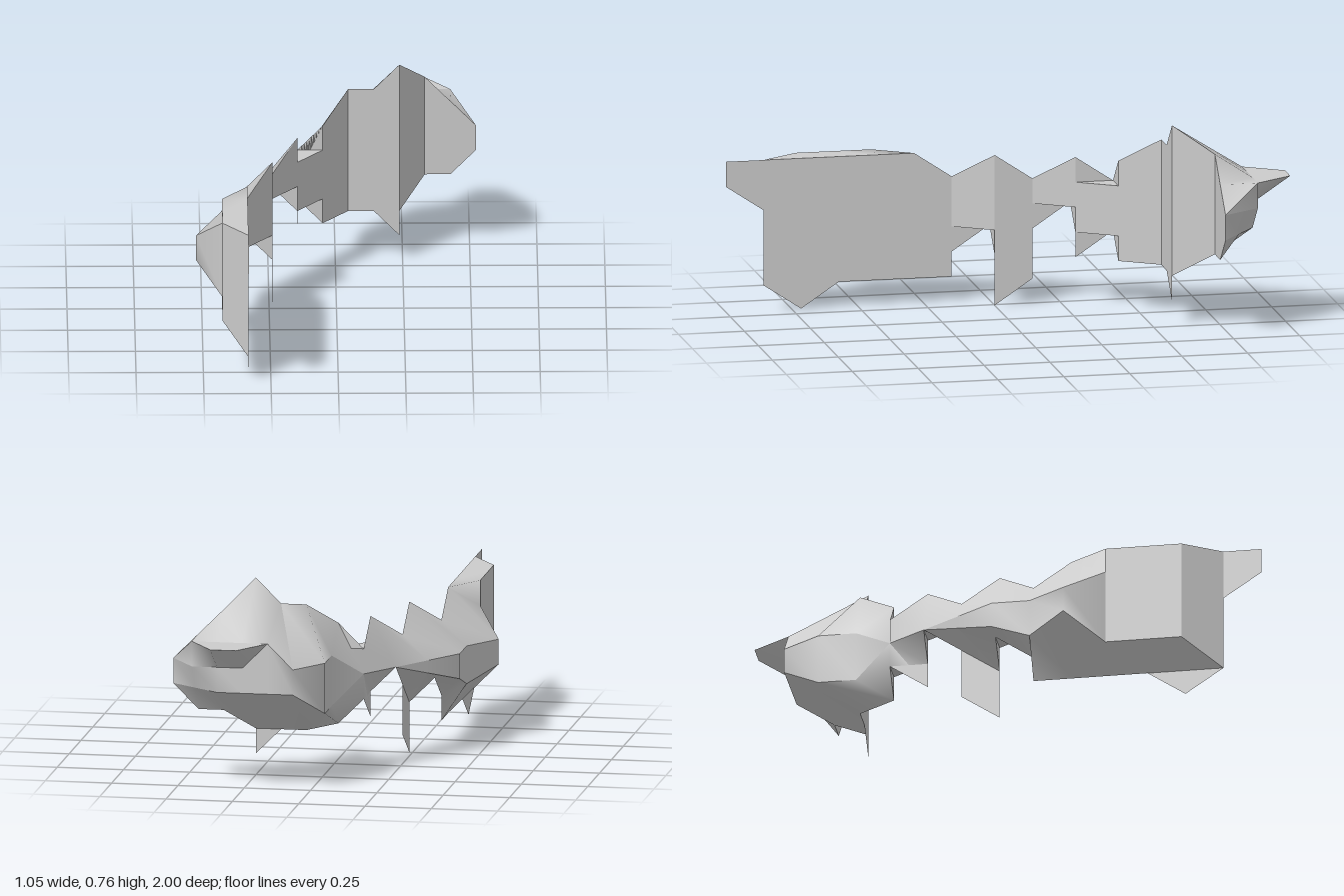
import * as THREE from 'three';

// Lattice steps: i across, j up, k towards the front
const U = 2 / 21;
const at = ([i, j, k]) => new THREE.Vector3((i - 5.5) * U, j * U, k * 1.5 * U);
const material = new THREE.MeshStandardMaterial({ color: 0xcccccc, side: THREE.DoubleSide });

function addMesh(group, name, points, index) {
  const geometry = new THREE.BufferGeometry().setFromPoints(points);
  geometry.setIndex(index);
  geometry.computeVertexNormals();
  const mesh = new THREE.Mesh(geometry, material);
  mesh.name = name;
  group.add(mesh);
}

// Flat polygon, turned to the front left (or upwards for ledges)
function panel(group, name, corners, ledge = false) {
  const points = corners.map(at);
  const flat = (p) => (ledge ? new THREE.Vector2(p.x, -p.z) : new THREE.Vector2(p.x - p.z, p.y));
  if (THREE.ShapeUtils.isClockWise(points.map(flat))) points.reverse();
  addMesh(group, name, points, THREE.ShapeUtils.triangulateShape(points.map(flat), []).flat());
}

// Smooth strip of quads between two rails
function strip(group, name, railA, railB) {
  const n = railA.length;
  const index = [];
  for (let s = 0; s < n - 1; s++) index.push(s, s + 1, n + s, s + 1, n + s + 1, n + s);
  addMesh(group, name, [...railA, ...railB].map(at), index);
}

export function createModel() {
  const model = new THREE.Group();
  model.name = 'facetedBody';

  // Upright front walls, from the long end plate to the broad head
  const plate = [[7, 6], [7, 5], [6, 4], [6, 1], [5, 0], [4, 1], [1, 1], [1, 2], [0, 3], [1, 3], [1, 5], [2, 6]];
  panel(model, 'endPlate', plate.map(([k, j]) => [2, j, k]));
  const fin = [[0, 6], [0, 0], [-1, 1], [-1, 3], [-2, 4], [-1, 4], [-1, 5]];
  panel(model, 'hangingFin', fin.map(([k, j]) => [3, j, k]));
  const head = [[6, 2], [7, 2], [8, 1], [8, 8], [7, 7], [6, 7]];
  panel(model, 'headFront', head.map(([i, j]) => [i, j, -4]));
  const tip = [[9, 3], [10, 3], [11, 4], [11, 5], [9, 7]];
  panel(model, 'headTip', tip.map(([i, j]) => [i, j, -5]));

  // Diagonal walls: start i, start k, bottom and top at each end
  const diagonals = [
    [2, 1, 3, 5, 3, 6], [3, -1, 4, 5, 4, 6], [4, -2, 3, 5, 3, 5],
    [5, -3, 2, 6, 2, 7], [8, -4, 2, 8, 3, 7],
  ];
  for (const [i, k, low0, top0, low1, top1] of diagonals) {
    panel(model, 'diagonalWall', [[i, low0, k], [i + 1, low1, k - 1], [i + 1, top1, k - 1], [i, top0, k]]);
  }

  // Notched corners: a small ledge with triangles below (-1) or above (+1)
  for (const [i, j, k, dir] of [[2, 3, 1, -1], [3, 4, -1, -1], [4, 3, -2, -1], [4, 5, -2, 1]]) {
    panel(model, 'notchLedge', [[i, j, k], [i + 1, j, k - 1], [i, j, k - 1]], true);
    panel(model, 'notchFace', [[i, j, k - 1], [i + 1, j, k - 1], [i + 1, j + dir, k - 1]]);
    if (k === -2) panel(model, 'notchSide', [[i, j, k], [i, j + dir, k], [i, j, k - 1]]);
  }

  // Rails of the rounded back shell
  const roofFront = [
    [2, 6, 6], [2, 6, 4], [2, 6, 3], [2, 6, 2], [2, 6, 2], [2, 5, 1], [3, 6, 0], [3, 5, -1], [4, 6, -2],
    [4, 5, -3], [5, 6, -3], [6, 7, -4], [7, 7, -4], [7, 7, -4], [8, 8, -4], [9, 7, -5], [10, 6, -5], [11, 5, -5],
  ];
  const roofBack = [
    [1, 6, 5], [1, 6, 4], [1, 6, 3], [1, 5, 3], [0, 4, 2], [1, 4, 1], [1, 4, 0], [2, 4, -1], [3, 4, -2],
    [4, 4, -3], [5, 5, -4], [5, 5, -5], [6, 5, -6], [7, 6, -6], [8, 6, -6], [9, 6, -6], [10, 6, -6], [11, 5, -5],
  ];
  const floorBack = [
    [1, 2, 5], [1, 2, 4], [1, 2, 3], [1, 2, 3], [0, 3, 2], [1, 2.5, 1], [1, 3, 0], [2, 3.5, -1], [3, 4, -2],
    [4, 4, -3], [5, 3, -4], [5, 3, -5], [6, 4, -6], [7, 4, -6], [8, 4, -6], [9, 4, -6], [10, 4, -5.5], [11, 4, -5],
  ];
  // Front edge of the underside; the last number picks the facing back point
  const floorFront = [
    [2, 1, 6, 0], [2, 1, 4, 1], [2, 1, 3, 2], [2, 1, 2, 4], [2, 1, 1, 5], [2, 2, 1, 5], [2, 3, 0, 6],
    [3, 2, 0, 7], [3, 3, -1, 7], [3, 4, -2, 8], [4, 3, -2, 8], [4, 2, -2, 9], [4, 3, -3, 9], [5, 2, -3, 10],
    [6, 2, -4, 11], [7, 2, -4, 12], [7, 2, -4, 13], [8, 2, -4, 14], [9, 3, -5, 15], [10, 3, -5, 16], [11, 4, -5, 17],
  ];
  // The back wall starts one step lower beneath the tail shelf
  const wallTop = roofBack.map(([i, j, k]) => [i, i > 7 ? 5 : j, k]);
  strip(model, 'roof', roofFront, roofBack);
  strip(model, 'backWall', wallTop, floorBack);
  strip(model, 'underside', floorFront.map((p) => floorBack[p[3]]), floorFront);
  strip(model, 'endCap', [roofFront[0], roofBack[0]], [floorFront[0], floorBack[0]]);

  // Flat shelf jutting out at the back of the head
  const shelf = [[7, 6, -6], [8, 6, -7], [9, 6, -7], [10, 6, -6]];
  panel(model, 'tailShelf', shelf, true);
  strip(model, 'shelfUnderside', [...shelf, [11, 5, -5]], wallTop.slice(13));

  return model;
}
